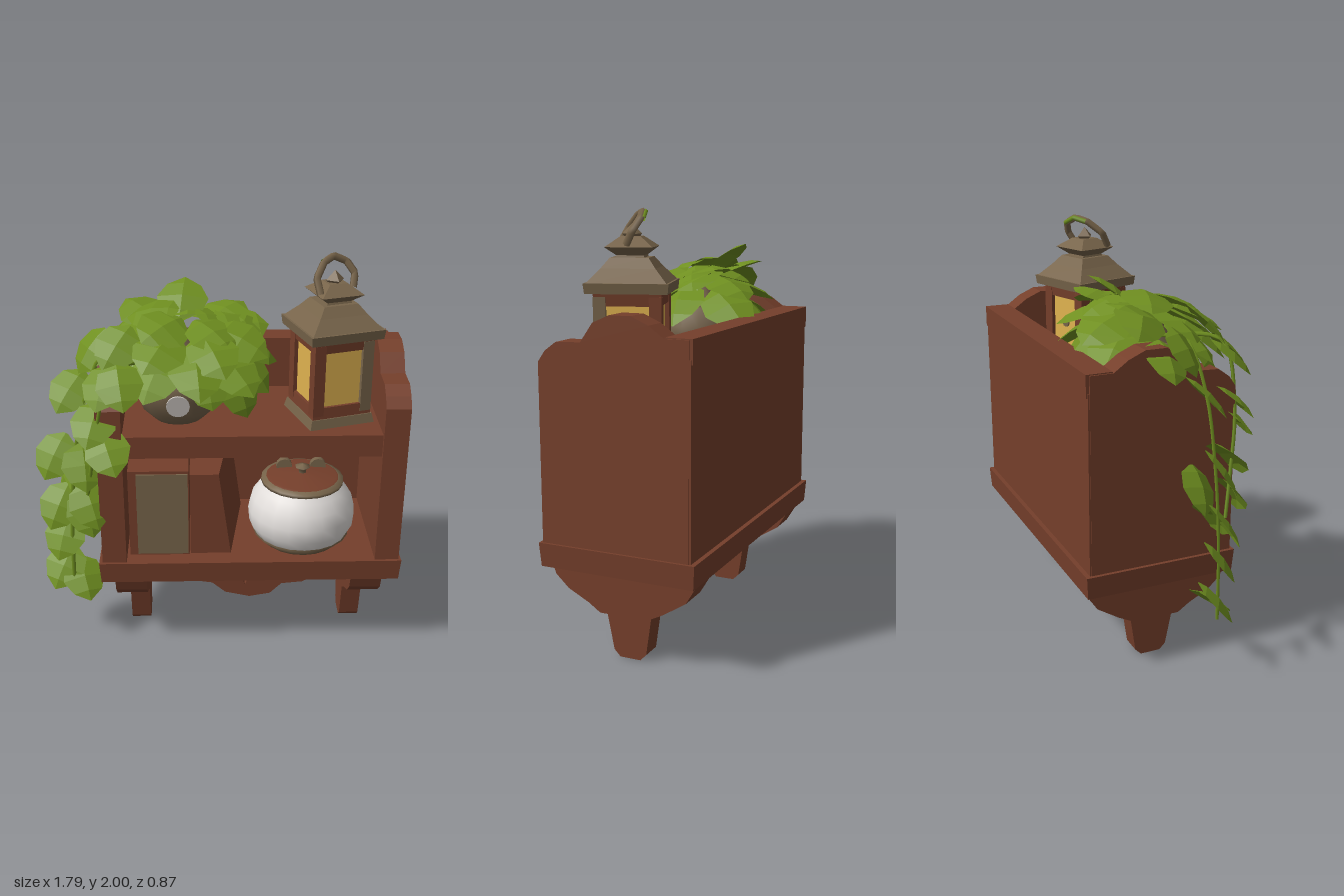
import * as THREE from 'three';

const mat = (name, color, side = THREE.FrontSide) =>
  Object.assign(new THREE.MeshStandardMaterial({ color, side }), { name });
const M = {
  wood: mat('red brown wood', 0x753f2b),
  bronze: mat('aged bronze', 0x77644a),
  clay: mat('clay pot', 0x77644c),
  leaf: mat('leaf green', 0x6f8f20, THREE.DoubleSide),
  white: mat('white porcelain', 0xe2dedb),
  glass: mat('amber glass', 0xe0b350),
  badge: mat('pale grey', 0xc8c2bd),
};

const V = (x, y, z) => new THREE.Vector3(x, y, z);
const pts = (a) => a.map(([x, y]) => new THREE.Vector2(x, y));

function add(parent, name, geo, material, x = 0, y = 0, z = 0) {
  const m = new THREE.Mesh(geo, material);
  m.name = name;
  m.position.set(x, y, z);
  parent.add(m);
  return m;
}
// box given by its limits on each axis
function block(parent, name, material, [x0, x1], [y0, y1], [z0, z1]) {
  return add(parent, name, new THREE.BoxGeometry(x1 - x0, y1 - y0, z1 - z0), material,
    (x0 + x1) / 2, (y0 + y1) / 2, (z0 + z1) / 2);
}
// outline in (z, y), extruded along x from x0 to x1
function sideProfile(outline, x0, x1) {
  const g = new THREE.ExtrudeGeometry(new THREE.Shape(pts(outline)), { depth: x1 - x0, bevelEnabled: false });
  return g.rotateY(-Math.PI / 2).translate(x1, 0, 0);
}
// square frustum with flat sides; w0 and w1 are full widths
function frustum(w0, w1, y0, y1) {
  const g = new THREE.CylinderGeometry(w1 * Math.SQRT1_2, w0 * Math.SQRT1_2, y1 - y0, 4).toNonIndexed();
  g.rotateY(Math.PI / 4).translate(0, (y0 + y1) / 2, 0);
  g.computeVertexNormals();
  return g;
}

function makeCabinet() {
  const g = new THREE.Group();
  g.name = 'cabinet';
  // tray with a chamfered underside
  const tray = block(g, 'tray', M.wood, [-0.59, 0.9], [0.43, 0.54], [-0.44, 0.315]);
  const p = tray.geometry.attributes.position;
  for (let i = 0; i < p.count; i++) if (p.getY(i) < 0) p.setXYZ(i, p.getX(i) * 0.99, p.getY(i), p.getZ(i) * 0.98);
  tray.geometry.computeVertexNormals();
  block(g, 'shelf', M.wood, [-0.5, 0.82], [1.1, 1.21], [-0.38, 0.28]);
  block(g, 'backPanel', M.wood, [-0.57, 0.885], [0.54, 1.4], [-0.418, -0.33]);
  block(g, 'backRail', M.wood, [-0.565, 0.88], [1.38, 1.485], [-0.425, -0.3]);
  // scalloped side panels
  const side = [[0.3, 0.54], [0.3, 1.35], [0.265, 1.4], [0.21, 1.44], [0.09, 1.445], [0.03, 1.53], [-0.05, 1.565],
    [-0.15, 1.565], [-0.23, 1.53], [-0.3, 1.48], [-0.41, 1.48], [-0.41, 0.54]];
  add(g, 'leftSidePanel', sideProfile(side, 0.77, 0.888), M.wood);
  add(g, 'rightSidePanel', sideProfile(side, -0.573, -0.455), M.wood);
  // bracket feet: wide corbel with a narrower toe
  const corbel = [[0.305, 0.43], [0.285, 0.37], [0.22, 0.31], [0.12, 0.26], [0.06, 0.22], [-0.17, 0.22],
    [-0.25, 0.26], [-0.36, 0.33], [-0.42, 0.43]];
  const toe = [[0.06, 0.23], [0.02, 0.03], [-0.01, 0], [-0.11, 0], [-0.14, 0.03], [-0.17, 0.23]];
  add(g, 'rightCorbel', sideProfile(corbel, -0.515, -0.36), M.wood);
  add(g, 'leftCorbel', sideProfile(corbel, 0.655, 0.81), M.wood);
  add(g, 'rightFoot', sideProfile(toe, -0.46, -0.36), M.wood);
  add(g, 'leftFoot', sideProfile(toe, 0.655, 0.755), M.wood);
  // wavy apron with a star cut through it
  const apron = new THREE.Shape(pts([[-0.37, 0.43], [-0.37, 0.3], [-0.25, 0.28], [-0.16, 0.23], [-0.03, 0.21],
    [0.04, 0.15], [0.17, 0.12], [0.28, 0.14], [0.34, 0.2], [0.45, 0.21], [0.55, 0.27], [0.66, 0.29], [0.66, 0.43]]));
  const star = [];
  for (let i = 0; i < 12; i++) {
    const a = i * Math.PI / 6, r = i % 2 ? 0.05 : 0.11;
    star.push([0.145 + Math.sin(a) * r, 0.305 + Math.cos(a) * r]);
  }
  apron.holes.push(new THREE.Path(pts(star)));
  add(g, 'apron', new THREE.ExtrudeGeometry(apron, { depth: 0.09, bevelEnabled: false }), M.wood, 0, 0, -0.1);
  return g;
}

function makeBooks() {
  const g = new THREE.Group();
  g.name = 'books';
  block(g, 'thickBook', M.wood, [-0.44, -0.145], [0.54, 1.005], [-0.3, 0.23]);
  block(g, 'thickBookPages', M.bronze, [-0.4, -0.15], [0.55, 0.99], [0.23, 0.238]);
  // second book splays toward its back
  const geo = new THREE.BoxGeometry(0.14, 0.44, 0.5), p = geo.attributes.position;
  for (let i = 0; i < p.count; i++)
    if (p.getX(i) > 0) p.setX(i, p.getX(i) + (p.getY(i) < 0 ? 0.06 : 0) + (p.getZ(i) < 0 ? 0.07 : 0));
  geo.computeVertexNormals();
  add(g, 'leaningBook', geo, M.wood, -0.07, 0.76, -0.03);
  return g;
}

function makeBowl() {
  const g = new THREE.Group();
  g.name = 'sugarBowl';
  g.position.set(0.42, 0.54, 0.07);
  const lathe = (name, profile, m, n = 20) => add(g, name, new THREE.LatheGeometry(pts(profile), n), m);
  lathe('bowlFoot', [[0, 0], [0.19, 0.005], [0.242, 0.055], [0.2, 0.065]], M.bronze);
  lathe('bowlBody', [[0.17, 0.01], [0.225, 0.04], [0.262, 0.11], [0.268, 0.18], [0.25, 0.25], [0.215, 0.3], [0.19, 0.33]], M.white);
  lathe('lidRim', [[0.18, 0.32], [0.205, 0.33], [0.205, 0.345], [0.18, 0.355]], M.bronze);
  lathe('lid', [[0.195, 0.345], [0.17, 0.36], [0, 0.375]], M.wood);
  lathe('lidKnob', [[0.02, 0.37], [0.02, 0.39], [0.04, 0.405], [0, 0.42]], M.bronze, 6);
  for (const x of [-0.085, 0.085])
    add(g, 'lidEar', new THREE.CylinderGeometry(0.04, 0.04, 0.03, 12).rotateX(Math.PI / 2), M.bronze, x, 0.37, -0.08);
  return g;
}

function makeLantern() {
  const g = new THREE.Group();
  g.name = 'lantern';
  g.position.set(0.54, 0, 0.02);
  g.rotation.y = 0.31;
  // base, frame rails, roof and cap, from the bottom up
  add(g, 'lanternBase', frustum(0.33, 0.31, 1.21, 1.255), M.bronze);
  add(g, 'lowerRail', frustum(0.3, 0.29, 1.25, 1.31), M.wood);
  add(g, 'upperRail', frustum(0.29, 0.3, 1.58, 1.64), M.wood);
  add(g, 'eave', frustum(0.36, 0.37, 1.635, 1.68), M.bronze);
  add(g, 'lowerRoof', frustum(0.35, 0.24, 1.68, 1.74), M.bronze);
  add(g, 'upperRoof', frustum(0.24, 0.17, 1.74, 1.785), M.bronze);
  add(g, 'neck', frustum(0.13, 0.11, 1.78, 1.81), M.bronze);
  add(g, 'capUnder', frustum(0.11, 0.21, 1.79, 1.83), M.bronze);
  add(g, 'cap', frustum(0.21, 0.09, 1.83, 1.875), M.bronze);
  add(g, 'finial', new THREE.OctahedronGeometry(0.045), M.bronze, 0, 1.885, 0);
  // glass core with a post at each corner
  add(g, 'glass', frustum(0.26, 0.26, 1.3, 1.6), M.glass);
  for (const x of [-1, 1]) for (const z of [-1, 1])
    add(g, 'cornerPost', new THREE.BoxGeometry(0.055, 0.35, 0.055), x > 0 && z > 0 ? M.bronze : M.wood, x * 0.122, 1.445, z * 0.122);
  add(g, 'rearKnob', new THREE.CylinderGeometry(0.025, 0.025, 0.008, 10).rotateX(Math.PI / 2), M.bronze, 0, 1.45, -0.133);
  // angular carrying loop, tipped backwards, with green patina along its rear
  const arch = [[-0.1, 1.84, 0.07], [-0.105, 1.91, 0.03], [-0.05, 1.965, -0.02], [0.01, 1.982, -0.05],
    [0.08, 1.95, -0.05], [0.11, 1.9, -0.02], [0.09, 1.84, 0.01]].map((a) => V(...a));
  const loop = (name, points, radius, material, z) => {
    const path = new THREE.CurvePath();
    for (let i = 1; i < points.length; i++) path.add(new THREE.LineCurve3(points[i - 1], points[i]));
    add(g, name, new THREE.TubeGeometry(path, 24, radius, 5), material, 0, 0, z);
  };
  loop('handle', arch, 0.018, M.bronze, 0);
  loop('handlePatina', arch.slice(2, 5), 0.012, M.leaf, -0.012);
  return g;
}

// folded, drooping leaf along +z, unit length and width
function leafGeometry() {
  const rows = [[0, 0.06, 0], [0.18, 0.4, 0.05], [0.5, 0.5, 0.06], [0.8, 0.33, 0], [1, 0, -0.1]];
  const v = [];
  for (let i = 0; i < rows.length - 1; i++) for (const s of [-1, 1]) {
    const [a, b] = [rows[i], rows[i + 1]];
    const ca = [0, a[2], a[0]], cb = [0, b[2], b[0]];
    const ea = [s * a[1], a[2] - a[1] * 0.22, a[0]], eb = [s * b[1], b[2] - b[1] * 0.22, b[0]];
    if (s > 0) v.push(...ca, ...cb, ...ea, ...ea, ...cb, ...eb);
    else v.push(...ca, ...ea, ...cb, ...ea, ...eb, ...cb);
  }
  const g = new THREE.BufferGeometry();
  g.setAttribute('position', new THREE.Float32BufferAttribute(v, 3));
  g.computeVertexNormals();
  return g;
}

function makePlant() {
  const g = new THREE.Group();
  g.name = 'pottedPlant';
  const cx = -0.19, cz = 0.02;
  add(g, 'pot', new THREE.LatheGeometry(pts([[0, 1.21], [0.12, 1.21], [0.18, 1.27], [0.212, 1.36], [0.212, 1.42],
    [0.18, 1.51], [0.16, 1.52], [0.15, 1.49], [0, 1.49]]), 16), M.clay, cx, 0, cz);
  add(g, 'stemMound', new THREE.CylinderGeometry(0.05, 0.15, 0.17, 8), M.clay, cx, 1.57, cz);
  const disc = add(g, 'potBadge', new THREE.CylinderGeometry(0.055, 0.055, 0.009, 16).rotateX(Math.PI / 2), M.badge, cx, 1.345, cz + 0.214);
  disc.rotation.x = 0.15;
  const geo = leafGeometry();
  let seed = 7;
  const jitter = (s) => ((seed = (seed * 16807) % 2147483647) / 2147483647 - 0.5) * s;
  // leaves at the sides roll a little toward the front
  function leaf(name, x, y, z, yaw, pitch, len, wid) {
    const m = add(g, name, geo, M.leaf, x, y, z);
    m.rotation.set(pitch, yaw, 0.35 * Math.sin(yaw) + jitter(0.4), 'YXZ');
    m.scale.set(wid, len, len);
  }
  // crown in rings: count, base radius, base height, pitch, length
  for (const [n, r, y, pitch, len] of [[10, 0.16, 1.6, 0.55, 0.31], [8, 0.12, 1.67, 0.3, 0.29], [5, 0.04, 1.72, 0.25, 0.26]])
    for (let i = 0; i < n; i++) {
      const a = (i + 0.3 * n) / n * Math.PI * 2 + jitter(0.3);
      leaf('crownLeaf', cx + 0.05 + Math.sin(a) * r * 1.1, y + jitter(0.06), cz + Math.cos(a) * r, a, pitch + jitter(0.3), len, 0.26);
    }
  // raised leaves at the back of the crown: x, base height, yaw, pitch
  for (const [x, y, yaw, pitch] of [[-0.18, 1.68, 3.0, -0.7], [-0.28, 1.66, 3.9, -0.35], [-0.05, 1.66, 2.3, -0.3], [0, 1.63, 1.7, -0.1]])
    leaf('raisedLeaf', x, y, -0.04, yaw, pitch, 0.25, 0.25);
  // leaves hanging over the pot rim
  leaf('hangingLeaf', 0.07, 1.48, 0.12, 0.9, 1.15, 0.24, 0.2);
  leaf('hangingLeaf', -0.06, 1.52, 0.22, 0.3, 1.0, 0.19, 0.19);
  leaf('hangingLeaf', -0.4, 1.55, 0.16, -0.6, 0.9, 0.25, 0.22);
  // trailing vines over the right side
  const vines = [
    [[-0.3, 1.55, 0.05], [-0.52, 1.57, 0.08], [-0.63, 1.35, 0.12], [-0.7, 1, 0.14], [-0.73, 0.65, 0.15], [-0.74, 0.28, 0.15]],
    [[-0.3, 1.55, 0.15], [-0.48, 1.54, 0.28], [-0.57, 1.25, 0.3], [-0.62, 0.95, 0.26], [-0.66, 0.75, 0.22]]];
  for (const v of vines)
    add(g, 'vine', new THREE.TubeGeometry(new THREE.CatmullRomCurve3(v.map((a) => V(...a))), 20, 0.01, 4), M.leaf);
  // x, y, z of each leaf centre, then yaw
  const trail = [[-0.61, 1.57, 0.03, -1.1], [-0.46, 1.63, 0.2, -0.7], [-0.7, 1.37, 0.08, -0.7], [-0.56, 1.5, -0.04, -1.6],
    [-0.52, 1.48, 0.3, -0.4], [-0.45, 1.5, 0.33, 0.2],
    [-0.52, 1.17, 0.34, 0.4], [-0.58, 1.29, 0.29, -0.3], [-0.8, 1.06, 0.13, -0.7], [-0.64, 1.05, 0.24, 0.2],
    [-0.61, 0.87, 0.28, 0.5], [-0.79, 0.8, 0.16, -0.6], [-0.64, 0.77, 0.18, 0.4], [-0.78, 0.62, 0.15, -0.4],
    [-0.79, 0.42, 0.12, -0.6], [-0.69, 0.36, 0.14, 0.4], [-0.71, 0.95, 0.06, -1.6]];
  for (const [x, y, z, yaw] of trail)
    leaf('trailingLeaf', x - Math.sin(yaw) * 0.09, y + 0.075, z - Math.cos(yaw) * 0.09, yaw, 0.72 + jitter(0.3), 0.25, 0.22);
  return g;
}

export function createModel() {
  const model = new THREE.Group();
  model.name = 'shelfCabinet';
  model.add(makeCabinet(), makeBooks(), makeBowl(), makeLantern(), makePlant());
  return model;
}
